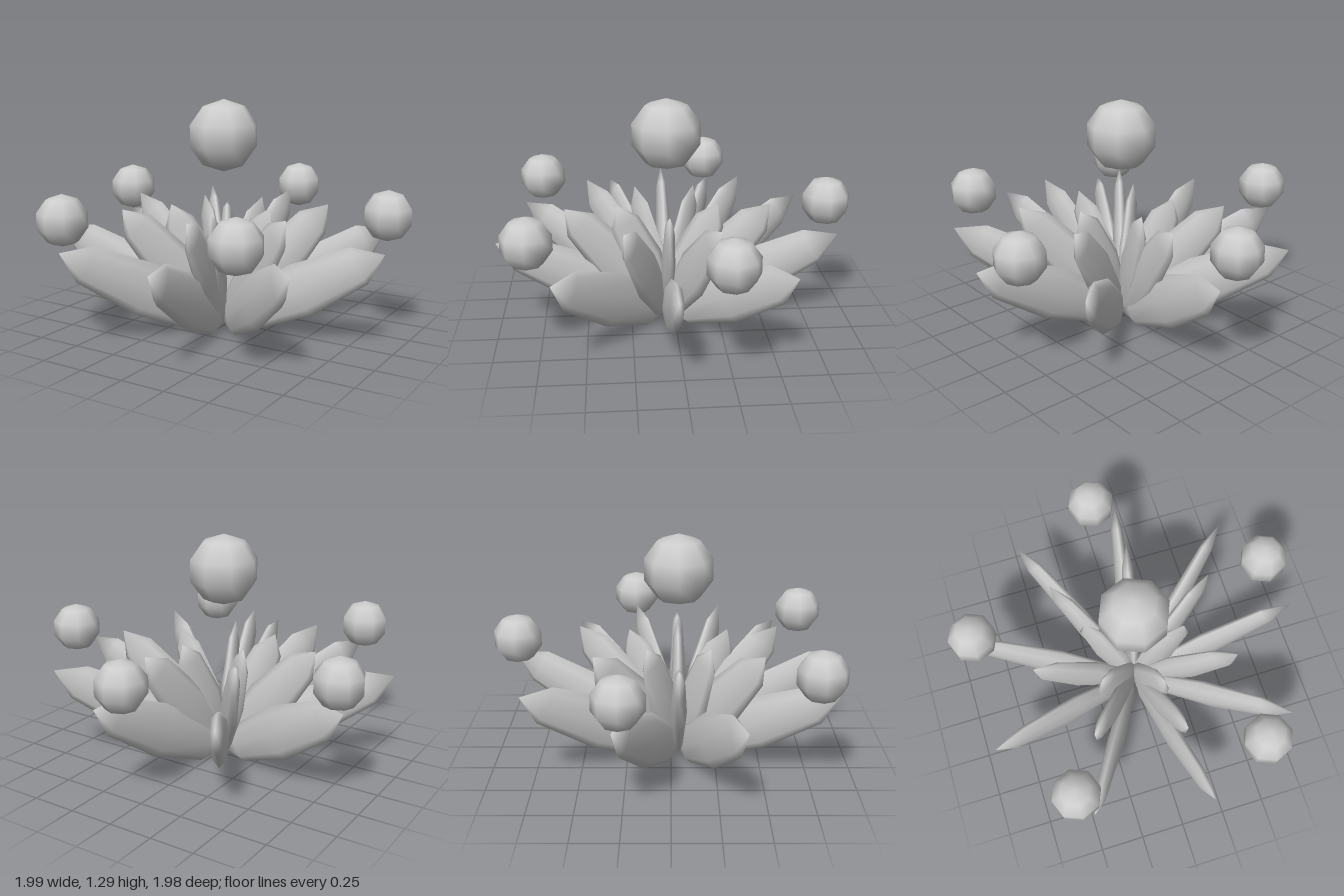
import * as THREE from 'three';

export function createModel() {
  const model = new THREE.Group();
  model.name = 'lotusFlower';
  const grey = new THREE.MeshStandardMaterial({ color: 0xcccccc });
  grey.name = 'pale grey';

  // Everything is arranged around the flower's axis
  const flower = new THREE.Group();
  flower.name = 'flower';
  flower.position.set(-0.006, 0, 0.042);
  model.add(flower);

  // A petal is a flattened ellipsoid standing on edge, from base to tip
  function petalRing(name, count, tipRadius, tipHeight, depth, thickness, start = 0) {
    const baseY = 0.02;
    const rise = tipHeight - baseY;
    const geometry = new THREE.SphereGeometry(1, 8, 4);
    geometry.scale(depth, Math.hypot(tipRadius, rise) / 2, thickness);
    geometry.rotateZ(-Math.atan2(tipRadius, rise));
    geometry.translate(tipRadius / 2, baseY + rise / 2, 0);
    for (let i = 0; i < count; i++) {
      const petal = new THREE.Mesh(geometry, grey);
      petal.name = name;
      petal.rotation.y = start + (i * 2 * Math.PI) / count;
      flower.add(petal);
    }
  }
  petalRing('outerPetal', 9, 0.96, 0.545, 0.15, 0.05);
  petalRing('middlePetal', 7, 0.58, 0.72, 0.135, 0.045, Math.PI);
  petalRing('innerPetal', 5, 0.293, 0.715, 0.12, 0.04);

  // Floating orbs
  function orb(name, radius, x, y, z) {
    const mesh = new THREE.Mesh(new THREE.SphereGeometry(radius, 8, 5), grey);
    mesh.name = name;
    mesh.position.set(x, y, z);
    flower.add(mesh);
  }
  orb('centreOrb', 0.2, 0, 1.095, 0);
  for (let i = 0; i < 5; i++) {
    const a = THREE.MathUtils.degToRad(89.1 + 72 * i);
    orb('smallOrb', 0.14, 0.906 * Math.cos(a), 0.69, -0.906 * Math.sin(a));
  }
  return model;
}
